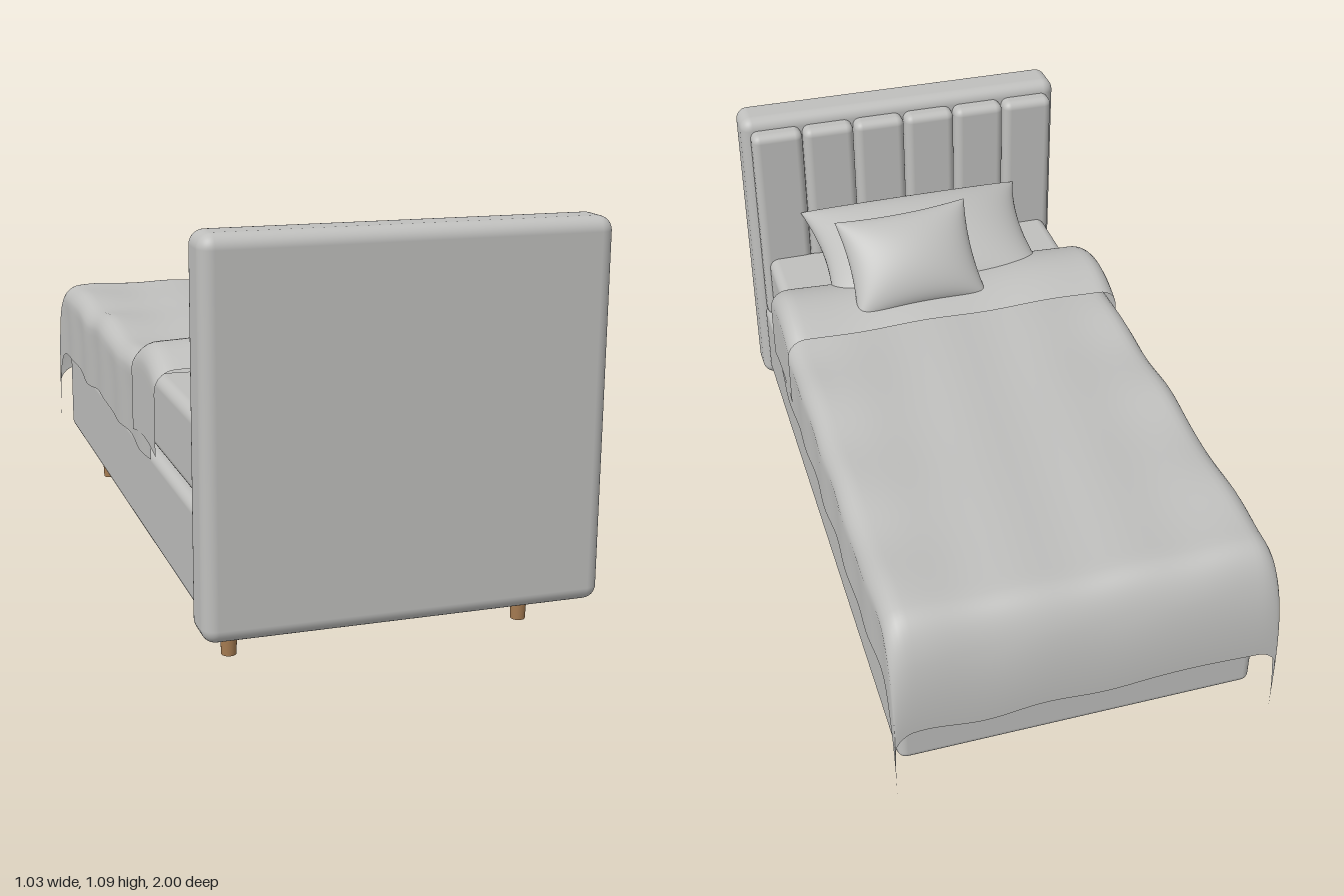
import * as THREE from 'three';
import { RoundedBoxGeometry } from 'three/addons/geometries/RoundedBoxGeometry.js';
import { mergeVertices } from 'three/addons/utils/BufferGeometryUtils.js';

const fabric = new THREE.MeshStandardMaterial({ color: 0xbfbfbd });
fabric.name = 'greyFabric';
const cloth = new THREE.MeshStandardMaterial({ color: 0xbfbfbd, side: THREE.DoubleSide });
cloth.name = 'greyCloth';
const wood = new THREE.MeshStandardMaterial({ color: 0xa67c52 });
wood.name = 'wood';

function add(group, name, geometry, material, x = 0, y = 0, z = 0) {
  const mesh = new THREE.Mesh(geometry, material);
  mesh.name = name;
  mesh.position.set(x, y, z);
  group.add(mesh);
  return mesh;
}

// Rounded box given by its limits on each axis
function cushion(group, name, [x0, x1], [y0, y1], [z0, z1], radius) {
  const g = new RoundedBoxGeometry(x1 - x0, y1 - y0, z1 - z0, 5, radius);
  return add(group, name, g, fabric, (x0 + x1) / 2, (y0 + y1) / 2, (z0 + z1) / 2);
}

// Grid surface: rule(u, v) with u, v in 0..1 returns [x, y, z]
function sheet(nu, nv, rule) {
  const g = new THREE.PlaneGeometry(1, 1, nu, nv);
  const p = g.attributes.position;
  for (let i = 0; i < p.count; i++) {
    p.setXYZ(i, ...rule(p.getX(i) + 0.5, 0.5 - p.getY(i)));
  }
  g.computeVertexNormals();
  return g;
}

// Draped edge: distance along the cloth -> [outward travel, drop]
function drape(s, flat, reach, drop) {
  if (s <= 0) return [flat + s, 0];
  const r = Math.sin(Math.min(s, 1) * Math.PI / 2);
  return [flat + reach * Math.pow(r, 0.62), drop * Math.pow(s, 1.6)];
}

// Position across the bed for u in 0..1: [x, drop]
function across(u, width, drop) {
  const a = Math.abs(u * 2 - 1);
  const side = Math.sign(u * 2 - 1);
  const split = 0.62;
  if (a < split) return [side * (a / split) * width, 0];
  const t = (a - split) / (1 - split);
  const turn = Math.min(t / 0.45, 1) * Math.PI / 2;
  const r = 0.055;
  const d = t < 0.45 ? r * (1 - Math.cos(turn)) : r + (drop - r) * (t - 0.45) / 0.55;
  return [side * (width + r * Math.sin(turn)), d];
}

// Blanket hanging over both sides and the foot; the drops add up at the corners
function blanketGeometry() {
  const zHead = 0.45, zFlat = -0.86;
  return sheet(72, 110, (u, v) => {
    const [x, dx] = across(u, 0.457, 0.23);
    const t = v / 0.72;
    const [out, dz] = t <= 1 ? [0, 0] : drape((v - 0.72) / 0.28, 0, 0.14, 0.31);
    const z = t <= 1 ? zHead + (zFlat - zHead) * t : zFlat - out;
    const edge = Math.min(1, Math.abs(x) / 0.46) ** 4;
    const wave = 0.007 * Math.sin(z * 15 + Math.sign(x)) * edge
      + 0.004 * Math.sin(z * 9 + x * 6) + 0.003 * Math.sin(x * 22 + z * 2);
    const foot = dz > 0 ? 0.006 * Math.sin(x * 18) * Math.min(1, dz / 0.1) : 0;
    return [x + Math.sign(x) * 0.003 * Math.sin(z * 24) * Math.min(1, dx / 0.1), 0.645 - dx - dz + wave + foot, z];
  });
}

// Folded-back top of the blanket, arched along the bed
function cuffGeometry() {
  return sheet(72, 20, (u, v) => {
    const b = v * 2 - 1;
    const [x, dx] = across(u, 0.46, 0.225);
    const arch = 0.04 * (1 - b * b) * (1 - 0.55 * dx / 0.225);
    return [x, 0.675 + arch - dx + 0.003 * Math.sin(x * 16), 0.39 - b * 0.14];
  });
}

// Pillow with pinched corners; two bulging faces meet at a seam
function pillowGeometry(w, d, thick, pinch) {
  const n = 36;
  const g = new THREE.BoxGeometry(2, 2, 2, n, 1, n);
  g.deleteAttribute('uv');
  g.deleteAttribute('normal');
  // keep only the upper and lower faces of the box
  const index = [];
  for (const k of [2, 3]) {
    const { start, count } = g.groups[k];
    for (let i = 0; i < count; i++) index.push(g.index.array[start + i]);
  }
  g.setIndex(index);
  g.clearGroups();
  const p = g.attributes.position;
  for (let i = 0; i < p.count; i++) {
    const u = Math.sin(p.getX(i) * Math.PI / 2), v = Math.sin(p.getZ(i) * Math.PI / 2);
    const bulge = Math.pow(Math.max(0, (1 - u * u) * (1 - v * v)), 0.45);
    p.setXYZ(i,
      u * w / 2 * (1 - pinch * (1 - v * v)),
      Math.sign(p.getY(i)) * thick / 2 * bulge,
      v * d / 2 * (1 - pinch * (1 - u * u)));
  }
  const merged = mergeVertices(g, 1e-5);
  merged.computeVertexNormals();
  return merged;
}

export function createModel() {
  const bed = new THREE.Group();
  bed.name = 'bed';

  // Upholstered frame and mattress
  cushion(bed, 'headboard', [-0.51, 0.51], [0.118, 1.085], [0.868, 1], 0.036);
  cushion(bed, 'bedBase', [-0.49, 0.49], [0.148, 0.408], [-0.925, 0.88], 0.025);
  cushion(bed, 'mattress', [-0.468, 0.468], [0.4, 0.612], [-0.9, 0.84], 0.03);

  // Vertical padded channels on the headboard
  const channels = new THREE.Group();
  channels.name = 'headboardChannels';
  const pitch = 0.1625;
  for (let i = 0; i < 6; i++) {
    const x = (i - 2.5) * pitch;
    cushion(channels, 'channel', [x - 0.079, x + 0.079], [0.39, 1.052], [0.818, 0.885], 0.024);
  }
  bed.add(channels);

  // Tapered legs
  const legGeometry = new THREE.CylinderGeometry(0.026, 0.019, 0.16, 24);
  for (const x of [-0.393, 0.393]) {
    for (const z of [0.78, -0.77]) add(bed, 'leg', legGeometry, wood, x, 0.08, z);
  }

  // Bedding
  add(bed, 'blanket', blanketGeometry(), cloth);
  add(bed, 'blanketCuff', cuffGeometry(), cloth);

  const large = add(bed, 'largePillow', pillowGeometry(0.71, 0.45, 0.23, 0.1), fabric, 0, 0.705, 0.6);
  large.rotation.x = -0.3;
  const small = add(bed, 'smallPillow', pillowGeometry(0.41, 0.31, 0.17, 0.08), fabric, 0.09, 0.785, 0.425);
  small.rotation.set(-0.8, 0.04, 0);

  return bed;
}
